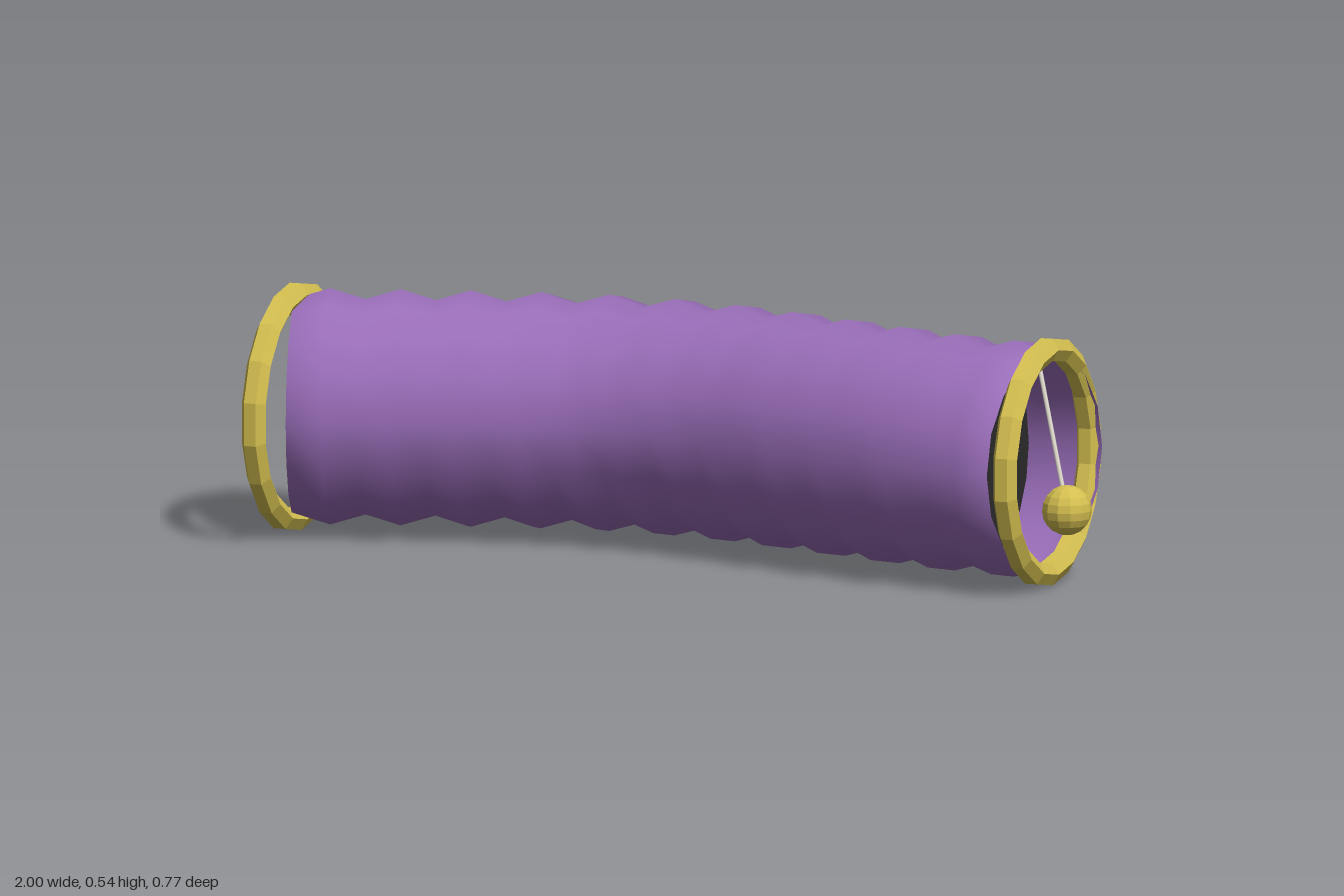
import * as THREE from 'three';
import { mergeVertices } from 'three/addons/utils/BufferGeometryUtils.js';

const AXIS_Y = 0.2725;

function material(name, color, options = {}) {
  const m = new THREE.MeshStandardMaterial({ color, ...options });
  m.name = name;
  return m;
}

// Open pleated tube swept along a curve, its radius alternating valley and peak
function pleatedTube(curve, sides, rows, valley, peak) {
  const geo = new THREE.CylinderGeometry(1, 1, 1, sides, rows, true);
  geo.deleteAttribute('uv');
  geo.deleteAttribute('normal');
  const pos = geo.attributes.position;
  for (let i = 0; i < pos.count; i++) {
    const row = Math.round((pos.getY(i) + 0.5) * rows);
    const r = row % 2 ? peak : valley;
    const c = curve.getPointAt(row / rows);
    const t = curve.getTangentAt(row / rows);
    const up = pos.getX(i) * r, side = pos.getZ(i) * r;
    pos.setXYZ(i, c.x + t.z * side, c.y + up, c.z - t.x * side);
  }
  const merged = mergeVertices(geo, 1e-4);
  merged.computeVertexNormals();
  return merged;
}

// Hoop with a hexagonal section, its axis along x
function hoopGeometry(radius, tube) {
  const section = [];
  for (let i = 0; i <= 6; i++) {
    const a = Math.PI / 6 + (i * Math.PI) / 3;
    section.push(new THREE.Vector2(radius + tube * Math.cos(a), tube * Math.sin(a)));
  }
  return new THREE.LatheGeometry(section, 18, Math.PI / 2).rotateZ(-Math.PI / 2);
}

export function createModel() {
  const model = new THREE.Group();
  model.name = 'playTunnel';

  const fabric = material('purple fabric', 0x9b6fbb, { side: THREE.DoubleSide });
  const gold = material('gold trim', 0xd4bf50, { flatShading: true });
  const dark = material('dark interior', 0x2c2c2c, { side: THREE.DoubleSide });
  const cord = material('pale cord', 0xe2ddd0);

  const add = (name, geo, mat, x = 0, y = 0, z = 0) => {
    const mesh = new THREE.Mesh(geo, mat);
    mesh.name = name;
    mesh.position.set(x, y, z);
    model.add(mesh);
    return mesh;
  };

  // Curved fabric tunnel
  const path = new THREE.CatmullRomCurve3([
    [-0.93, 0.04], [-0.6, -0.06], [-0.25, -0.13], [0.04, -0.105],
    [0.34, -0.015], [0.65, 0.08], [0.86, 0.117],
  ].map(([x, z]) => new THREE.Vector3(x, AXIS_Y, z)));
  add('tunnel', pleatedTube(path, 16, 24, 0.238, 0.261), fabric);

  // End hoops
  const hoop = hoopGeometry(0.248, 0.028);
  add('rightHoop', hoop, gold, -0.927, AXIS_Y, 0.045);
  add('leftHoop', hoop, gold, 0.866, AXIS_Y, 0.117);

  // Dark discs set back inside both openings
  const disc = (r) => new THREE.CircleGeometry(r, 18).rotateY(Math.PI / 2);
  add('rightDarkDisc', disc(0.215), dark, -0.8, AXIS_Y, 0.033);
  add('leftDarkDisc', disc(0.22), dark, 0.735, AXIS_Y, 0.117);

  // Toy ball hanging on a cord
  const top = new THREE.Vector3(0.847, 0.495, 0.12);
  const ball = new THREE.Vector3(0.945, 0.183, 0.197);
  add('cord', new THREE.TubeGeometry(new THREE.LineCurve3(top, ball), 1, 0.005, 6), cord);
  add('ball', new THREE.SphereGeometry(0.055, 12, 10), gold, ball.x, ball.y, ball.z);

  return model;
}
